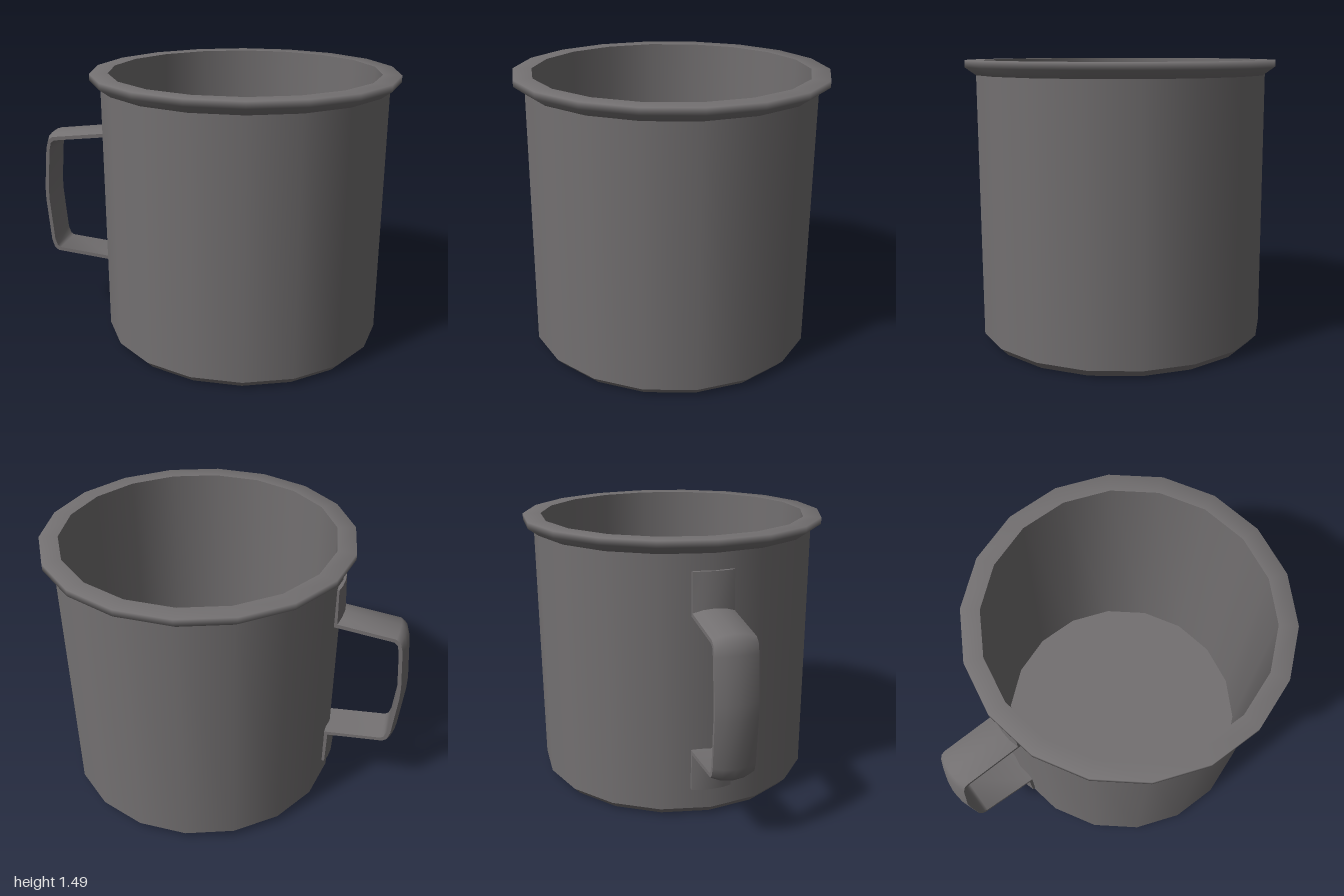
import * as THREE from 'three';
import { toCreasedNormals } from 'three/addons/utils/BufferGeometryUtils.js';

const SIDES = 18;
const CENTRE_X = 0.17;

export function createModel() {
  const group = new THREE.Group();
  const metal = new THREE.MeshStandardMaterial({ color: 0x737071 });
  metal.name = 'greyMetal';

  const add = (name, geometry, x = 0) => {
    const mesh = new THREE.Mesh(geometry, metal);
    mesh.name = name;
    mesh.position.x = x;
    group.add(mesh);
  };

  // Turned part of the cup: smooth around, with hard edges between sections
  const turned = (name, profile) => {
    const points = profile.map(([r, y]) => new THREE.Vector2(r, y));
    add(name, new THREE.LatheGeometry(points, SIDES, Math.PI / 2), CENTRE_X);
  };
  turned('base', [[0, 0], [0.735, 0]]);
  turned('baseBevel', [[0.735, 0], [0.772, 0.04]]);
  turned('outerWall', [[0.772, 0.04], [0.772, 1.415]]);
  turned('rim', [[0.772, 1.415], [0.828, 1.455], [0.828, 1.49], [0.73, 1.49]]);
  turned('innerWall', [[0.73, 1.49], [0.73, 0.05]]);
  turned('floor', [[0.73, 0.05], [0, 0.05]]);

  add('handle', handleGeometry());
  return group;
}

// Bent strap with a domed outer face, swept from the upper tab to the lower tab
function handleGeometry() {
  // outer x, outer y, inner x, inner y
  const stations = [
    [-0.615, 1.33, -0.59, 1.33],
    [-0.627, 1.148, -0.59, 1.105],
    [-0.925, 1.113, -0.905, 1.07],
    [-0.957, 1.09, -0.924, 1.055],
    [-0.977, 1.025, -0.935, 1.01],
    [-1.0, 0.79, -0.955, 0.785],
    [-1.0, 0.71, -0.955, 0.715],
    [-0.98, 0.455, -0.936, 0.47],
    [-0.963, 0.4, -0.923, 0.43],
    [-0.935, 0.375, -0.905, 0.417],
    [-0.633, 0.343, -0.59, 0.385],
    [-0.624, 0.16, -0.59, 0.16],
  ];
  // z across the strap, and share of the thickness from inner to outer
  const section = [
    [-0.108, 0], [-0.108, 0.45], [-0.06, 0.85], [0, 1],
    [0.06, 0.85], [0.108, 0.45], [0.108, 0],
  ];
  const n = section.length;
  const positions = [];
  const index = [];
  for (const [ox, oy, ix, iy] of stations) {
    for (const [z, t] of section) {
      positions.push(ix + (ox - ix) * t, iy + (oy - iy) * t, z);
    }
  }
  for (let s = 0; s < stations.length - 1; s++) {
    for (let k = 0; k < n; k++) {
      const a = s * n + k;
      const b = s * n + (k + 1) % n;
      index.push(a, a + n, b, b, a + n, b + n);
    }
  }
  // End caps
  const last = (stations.length - 1) * n;
  for (let k = 1; k < n - 1; k++) {
    index.push(0, k, k + 1);
    index.push(last, last + k + 1, last + k);
  }
  const geometry = new THREE.BufferGeometry();
  geometry.setAttribute('position', new THREE.Float32BufferAttribute(positions, 3));
  geometry.setIndex(index);
  return toCreasedNormals(geometry, Math.PI / 4);
}
